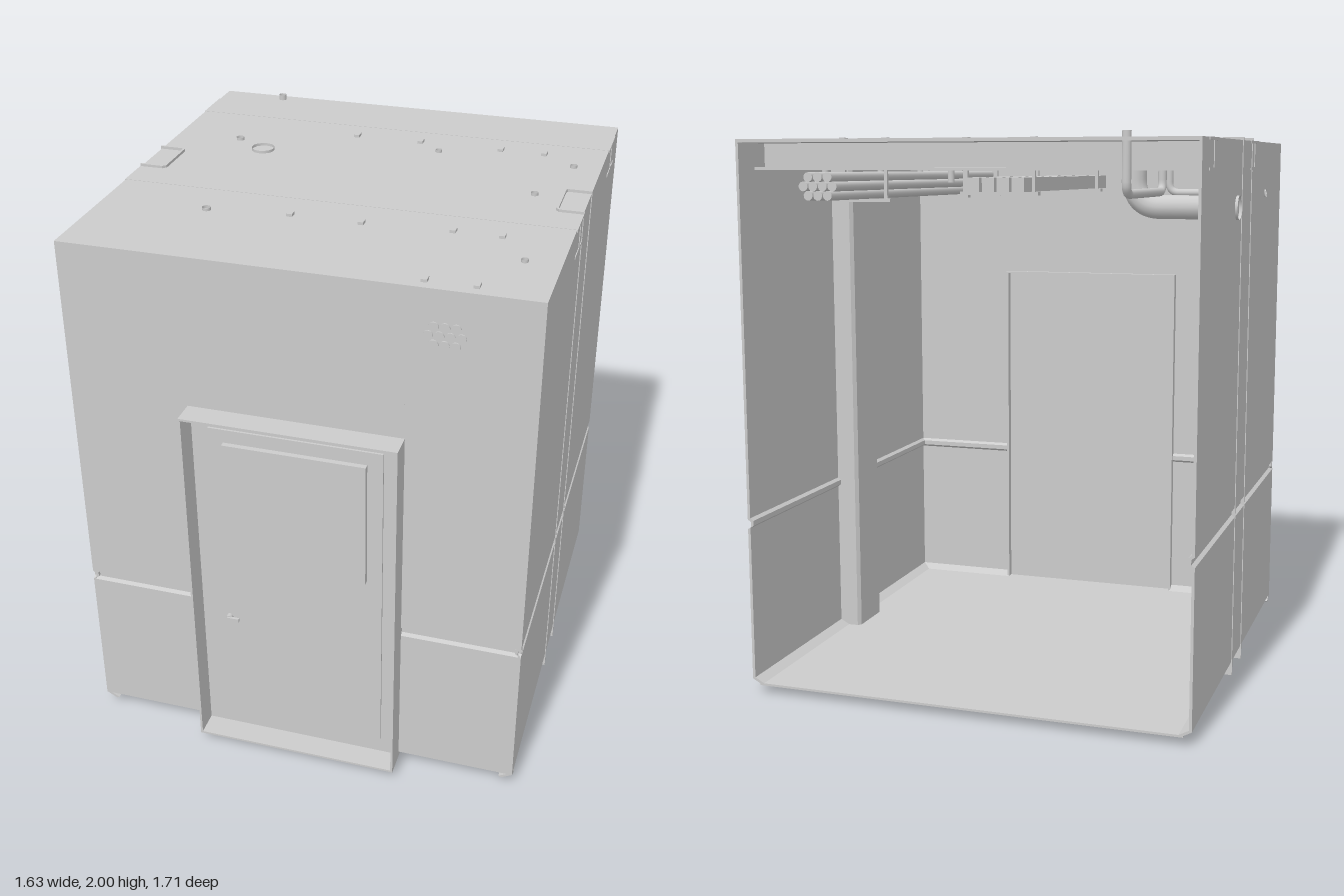
import * as THREE from 'three';

const W = 0.81, FRONT = 0.76, BACK = -0.85, TOP = 1.98, BASE = 0.03;

export function createModel() {
  const model = new THREE.Group();
  const mat = new THREE.MeshStandardMaterial({ color: 0xcccccc, side: THREE.DoubleSide });

  const add = (name, geo, x = 0, y = 0, z = 0) => {
    const m = new THREE.Mesh(geo, mat);
    m.name = name;
    m.position.set(x, y, z);
    model.add(m);
    return m;
  };
  // box given by its lower and upper limits
  const box = (name, x0, x1, y0, y1, z0, z1) =>
    add(name, new THREE.BoxGeometry(x1 - x0, y1 - y0, z1 - z0), (x0 + x1) / 2, (y0 + y1) / 2, (z0 + z1) / 2);
  const extrude = (pts, depth) => new THREE.ExtrudeGeometry(
    new THREE.Shape(pts.map(p => new THREE.Vector2(...p))), { depth, bevelEnabled: false });

  // pipe through points, with rounded bends
  const pipe = (name, pts, r, bend = 0.04) => {
    const v = pts.map(p => new THREE.Vector3(...p));
    const path = new THREE.CurvePath();
    let from = v[0];
    for (let i = 1; i < v.length - 1; i++) {
      const a = v[i].clone().add(v[i - 1].clone().sub(v[i]).setLength(bend));
      const b = v[i].clone().add(v[i + 1].clone().sub(v[i]).setLength(bend));
      path.add(new THREE.LineCurve3(from, a));
      path.add(new THREE.QuadraticBezierCurve3(a, v[i], b));
      from = b;
    }
    path.add(new THREE.LineCurve3(from, v[v.length - 1]));
    add(name, new THREE.TubeGeometry(path, v.length > 2 ? 64 : 1, r, 14));
  };

  // folded wall sheet: recessed band at mid height, sloped foot
  const sheet = (w, side = 1) => {
    const outer = [[w, TOP], [w, 0.645], [w - 0.012, 0.636], [w - 0.012, 0.618], [w, 0.609], [w, 0.052], [w - 0.04, BASE]];
    const inner = outer.map(([u, y], i) => [u - 0.01, i === 0 ? y : y + 0.005]).reverse();
    return [...outer, ...inner].map(([u, y]) => [u * side, y]);
  };
  for (const s of [-1, 1]) {
    add(s > 0 ? 'leftWall' : 'rightWall', extrude(sheet(W, s), FRONT - BACK), 0, 0, BACK);
    const g = extrude(sheet(FRONT), W - 0.375);
    g.rotateY(-Math.PI / 2);
    add('frontWall', g, s > 0 ? W : -0.375);
  }
  box('frontWallAboveDoor', -0.375, 0.375, 1.43, TOP, FRONT - 0.01, FRONT);

  // floor and ceiling
  box('floor', -W + 0.03, W - 0.03, BASE, BASE + 0.008, BACK, FRONT - 0.03);
  box('ceiling', -W, W, TOP - 0.012, TOP, BACK, FRONT);

  // door recess: thin hood, back panel, leaf, window and handle
  const D = 0.375, HOOD = 0.85;
  for (const s of [-1, 1]) box('doorJamb', s * D - 0.004, s * D + 0.004, BASE, 1.43, FRONT - 0.04, HOOD);
  box('doorHead', -D, D, 1.422, 1.43, FRONT - 0.04, HOOD);
  box('doorSill', -D, D, BASE, BASE + 0.008, FRONT - 0.04, HOOD);
  box('doorFrame', -D, D, BASE, 1.43, FRONT - 0.012, FRONT);
  box('doorLeaf', -0.31, 0.31, 0.1, 1.36, FRONT - 0.01, FRONT + 0.008);
  box('doorWindow', -0.255, 0.255, 0.83, 1.31, FRONT, FRONT + 0.028);
  const rose = add('handleRose', new THREE.CylinderGeometry(0.012, 0.012, 0.02, 16), -0.265, 0.56, FRONT + 0.014);
  rose.rotation.x = Math.PI / 2;
  box('handleLever', -0.27, -0.225, 0.553, 0.567, FRONT + 0.02, FRONT + 0.03);

  // channel columns, open towards the outside
  for (const s of [-1, 1]) {
    const a = 0.715, b = W + 0.003, t = 0.008, n = -0.06, f = 0.14, c = 0.012;
    const pts = [[b, n], [a + c, n], [a, n + c], [a, f - c], [a + c, f], [b, f], [b, f - t], [a + c, f - t],
      [a + t, f - c - t / 2], [a + t, n + c + t / 2], [a + c, n + t], [b, n + t]];
    const g = extrude(pts.map(([x, z]) => [x * s, z]), 1.99);
    g.rotateX(-Math.PI / 2);
    add('channelColumn', g);
  }

  // I-beams under the ceiling, showing at both side walls
  for (const z of [-0.66, 0.115]) {
    const h = 0.08, t = 0.006, y0 = 1.875, y1 = TOP + 0.001;
    const half = [[h, y0], [h, y0 + 0.01], [t, y0 + 0.01], [t, y1 - 0.01], [h, y1 - 0.01], [h, y1]];
    const g = extrude([...half, ...half.map(([u, y]) => [-u, y]).reverse()], 2 * W + 0.006);
    g.rotateY(Math.PI / 2);
    add('ceilingBeam', g, -W - 0.003, 0, z);
  }

  // bundle of pipes running from front to back
  for (let row = 0; row < 3; row++)
    for (let i = 0; i < (row === 1 ? 4 : 3); i++) {
      const x = 0.5 + (i - (row === 1 ? 1.5 : 1)) * 0.036, y = 1.79 + row * 0.031;
      const rod = add('bundlePipe', new THREE.CylinderGeometry(0.0165, 0.0165, FRONT - BACK + 0.01, 14), x, y, (FRONT + BACK) / 2);
      rod.rotation.x = Math.PI / 2;
    }

  // hangers: two rods and a crossbar
  const hanger = (x0, x1, y, z) => {
    for (const x of [x0, x1]) {
      box('hangerRod', x - 0.006, x + 0.006, y, 1.99, z - 0.006, z + 0.006);
      box('hangerPlate', x - 0.01, x + 0.01, TOP, 1.99, z - 0.015, z + 0.015);
    }
    box('hangerBar', x0 - 0.02, x1 + 0.02, y - 0.012, y, z - 0.015, z + 0.015);
  };
  for (const z of [-0.47, 0.32, 0.71]) hanger(0.42, 0.585, 1.773, z);
  for (const z of [-0.47, 0.34]) hanger(-0.14, 0.11, 1.8, z);

  // ribbed tray on its hangers
  for (let i = 0; i < 4; i++) {
    const x = -0.12 + i * 0.055;
    box('trayDuct', x, x + 0.045, 1.8, 1.85, -0.52, 0.55);
  }

  // large bent duct and small pipes through wall and ceiling
  pipe('largeDuct', [[-0.44, 1.99, -0.23], [-0.44, 1.745, -0.23], [-0.82, 1.745, -0.23]], 0.043, 0.1);
  pipe('wallPipe', [[-0.43, 1.99, 0.375], [-0.43, 1.785, 0.375], [-0.815, 1.785, 0.375]], 0.015);
  pipe('loopPipe', [[-0.56, 2, -0.81], [-0.56, 1.8, -0.81], [-0.56, 1.8, -0.31], [-0.56, 1.99, -0.31]], 0.015);
  pipe('sidePipe', [[0.71, 1.99, -0.37], [0.71, 1.84, -0.37], [0.62, 1.84, -0.37], [0.62, 1.84, -0.07], [0.62, 1.99, -0.07]], 0.013, 0.03);
  for (const [x, z] of [[0.2, -0.39], [0.69, 0.49]]) pipe('dropPipe', [[x, 1.99, z], [x, 1.83, z]], 0.012);

  return model;
}
